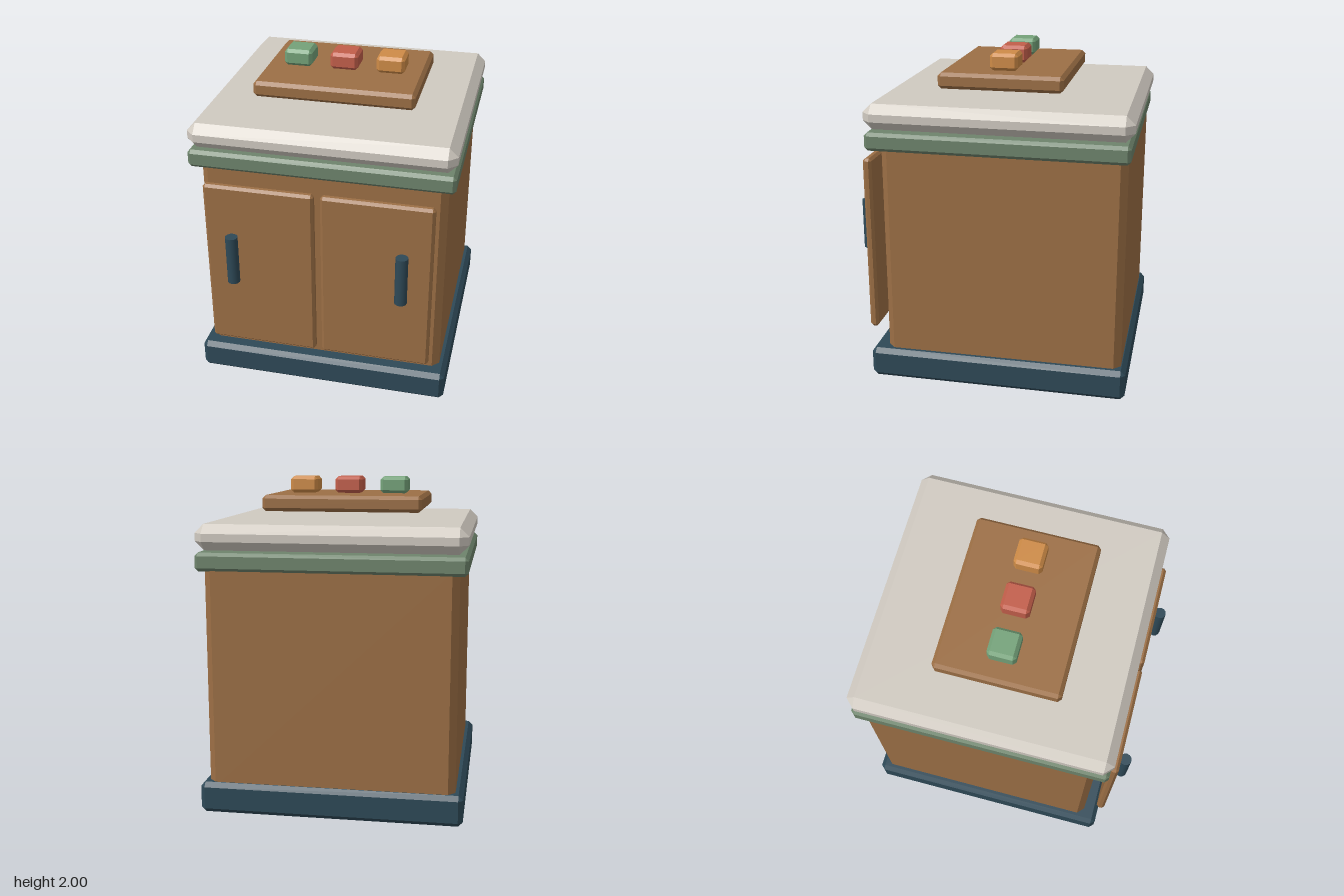
import * as THREE from 'three';
import { ConvexGeometry } from 'three/addons/geometries/ConvexGeometry.js';

const paint = (name, color) => {
  const m = new THREE.MeshStandardMaterial({ color });
  m.name = name;
  return m;
};

// Box with every edge cut by a flat bevel b
function bevelBox(w, h, d, b) {
  const points = [];
  for (const x of [-w / 2, w / 2])
    for (const y of [-h / 2, h / 2])
      for (const z of [-d / 2, d / 2]) {
        const ix = x - Math.sign(x) * b, iy = y - Math.sign(y) * b, iz = z - Math.sign(z) * b;
        points.push(
          new THREE.Vector3(x, iy, iz),
          new THREE.Vector3(ix, y, iz),
          new THREE.Vector3(ix, iy, z)
        );
      }
  return new ConvexGeometry(points);
}

export function createModel() {
  const model = new THREE.Group();
  model.name = 'cabinet';

  const wood = paint('wood', 0x9c6f45);
  const navy = paint('navy', 0x2e4957);
  const sage = paint('sage', 0x6e846c);
  const stone = paint('stone', 0xd0cac1);
  const green = paint('green', 0x74a279);
  const red = paint('red', 0xc25e4a);
  const orange = paint('orange', 0xce8b47);

  // Bevelled block given by its extents on each axis
  function block(name, material, [x0, x1], [y0, y1], [z0, z1], bevel) {
    const mesh = new THREE.Mesh(bevelBox(x1 - x0, y1 - y0, z1 - z0, bevel), material);
    mesh.name = name;
    mesh.position.set((x0 + x1) / 2, (y0 + y1) / 2, (z0 + z1) / 2);
    model.add(mesh);
  }

  // Plinth, carcass, trim and worktop
  block('plinth', navy, [-0.793, 0.793], [0, 0.19], [-0.848, 0.74], 0.028);
  block('carcass', wood, [-0.745, 0.745], [0.12, 1.54], [-0.815, 0.645], 0.042);
  block('trim', sage, [-0.793, 0.793], [1.475, 1.585], [-0.832, 0.725], 0.02);
  block('worktop', stone, [-0.793, 0.793], [1.597, 1.75], [-0.848, 0.738], 0.053);

  // Doors with upright round handles
  for (const side of [-1, 1]) {
    const prefix = side > 0 ? 'left' : 'right';
    const span = side > 0 ? [0.02, 0.692] : [-0.692, -0.02];
    block(prefix + 'Door', wood, span, [0.293, 1.397], [0.722, 0.776], 0.016);

    const handle = new THREE.Mesh(new THREE.CylinderGeometry(0.038, 0.038, 0.315, 12), navy);
    handle.name = prefix + 'Handle';
    handle.position.set(side * 0.516, 0.925, 0.813);
    model.add(handle);
  }

  // Raised board with three coloured blocks in a row
  block('board', wood, [-0.491, 0.491], [1.797, 1.895], [-0.402, 0.357], 0.021);
  [green, red, orange].forEach((material, i) => {
    const x = (i - 1) * 0.288;
    block(material.name + 'Block', material, [x - 0.087, x + 0.087], [1.897, 2], [-0.109, 0.064], 0.019);
  });

  return model;
}
